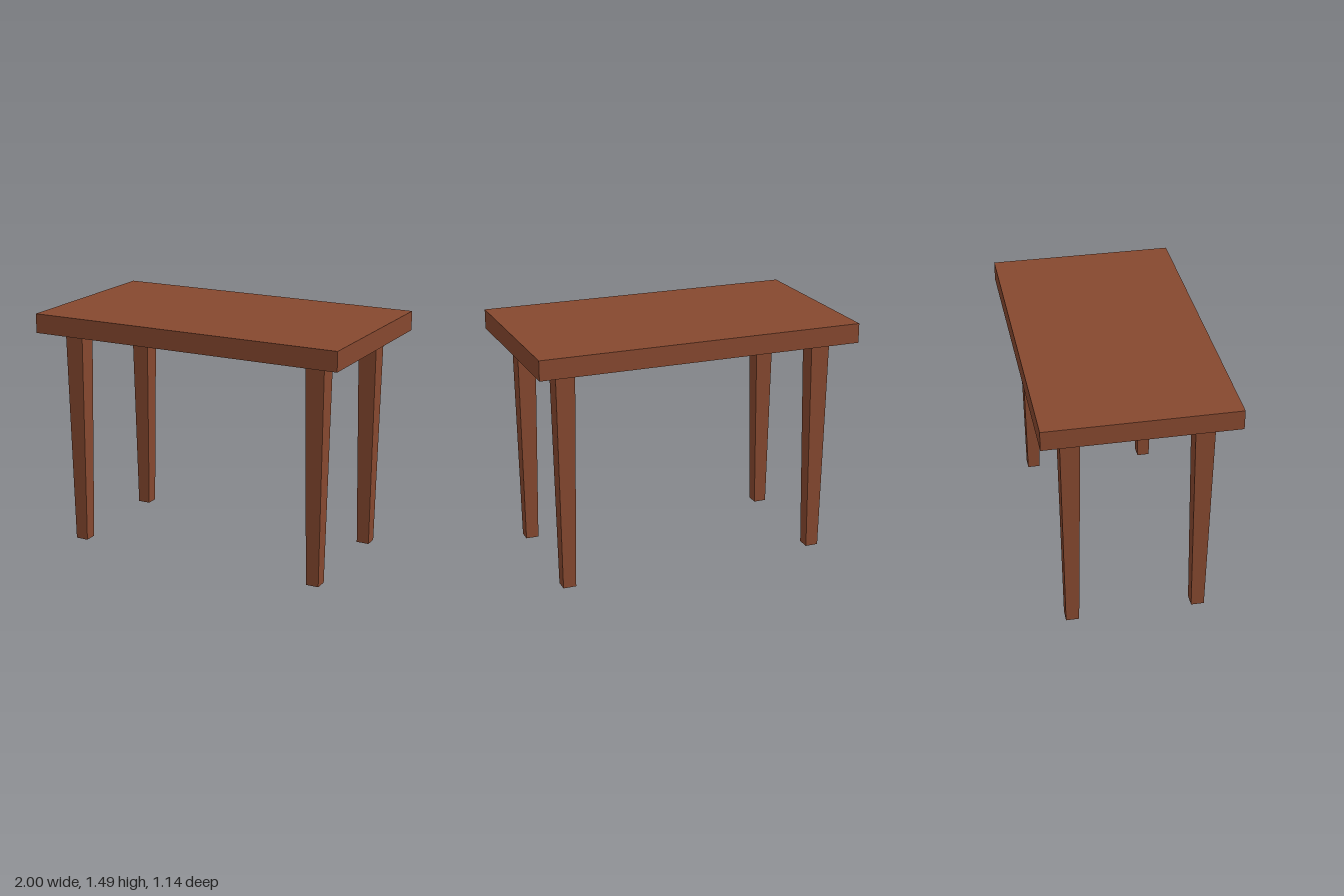
import * as THREE from 'three';

const TOP_Y = 1.485, SLAB = 0.12, WIDTH = 2, DEPTH = 1.14;
const LEG_H = TOP_Y - SLAB, LEG_TOP = 0.118, LEG_FOOT = 0.08;
const LEG_X = 0.81, LEG_Z = 0.387;

// Square leg, narrowing evenly towards the foot
function taperedLeg() {
  const geo = new THREE.BoxGeometry(LEG_TOP, LEG_H, LEG_TOP);
  geo.translate(0, LEG_H / 2, 0);
  const pos = geo.attributes.position;
  for (let i = 0; i < pos.count; i++) {
    if (pos.getY(i) < LEG_H / 2) {
      pos.setX(i, Math.sign(pos.getX(i)) * LEG_FOOT / 2);
      pos.setZ(i, Math.sign(pos.getZ(i)) * LEG_FOOT / 2);
    }
  }
  geo.computeVertexNormals();
  return geo;
}

export function createModel() {
  const table = new THREE.Group();
  table.name = 'table';

  const wood = new THREE.MeshStandardMaterial({ color: 0x86482f });
  wood.name = 'brown wood';

  // Table top
  const top = new THREE.Mesh(new THREE.BoxGeometry(WIDTH, SLAB, DEPTH), wood);
  top.name = 'tableTop';
  top.position.y = TOP_Y - SLAB / 2;
  table.add(top);

  // Four legs, mirrored across both axes
  const legGeo = taperedLeg();
  for (const [side, sx] of [['Left', 1], ['Right', -1]]) {
    for (const [end, sz] of [['front', 1], ['back', -1]]) {
      const leg = new THREE.Mesh(legGeo, wood);
      leg.name = `${end}${side}Leg`;
      leg.position.set(sx * LEG_X, 0, sz * LEG_Z);
      table.add(leg);
    }
  }
  return table;
}
